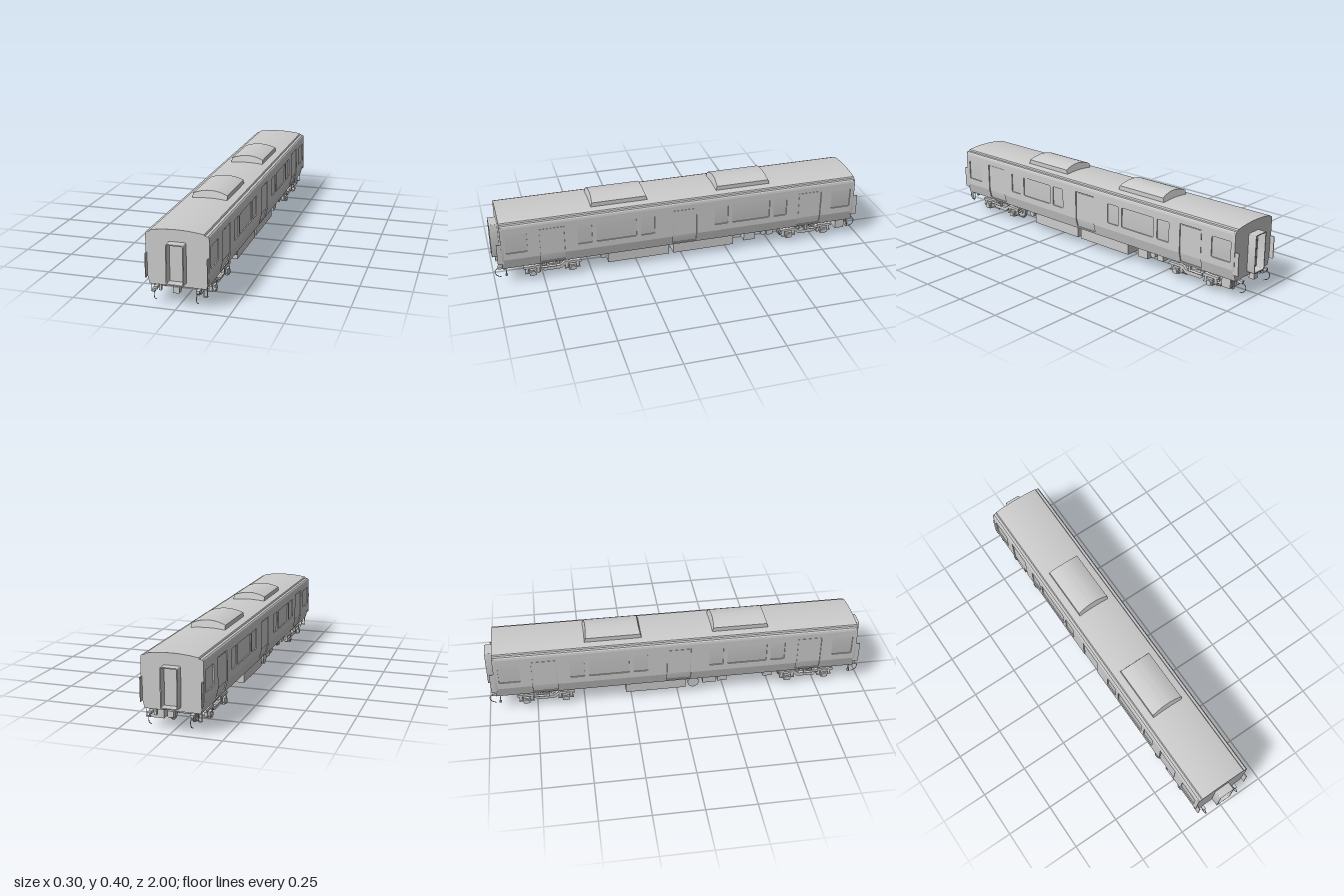
import * as THREE from 'three';
import { toCreasedNormals } from 'three/addons/utils/BufferGeometryUtils.js';

const mat = new THREE.MeshStandardMaterial({ color: 0xcccccc });
const thinMat = new THREE.MeshStandardMaterial({ color: 0xcccccc, side: THREE.DoubleSide });

function add(parent, name, geo, x = 0, y = 0, z = 0, m = mat) {
  const mesh = new THREE.Mesh(geo, m);
  mesh.name = name;
  mesh.position.set(x, y, z);
  parent.add(mesh);
  return mesh;
}
const box = (p, name, w, h, d, x, y, z) => add(p, name, new THREE.BoxGeometry(w, h, d), x, y, z);

// cylinder along 'x', 'y' or 'z'
function cyl(p, name, r, len, axis, x, y, z, r2 = r, seg = 24) {
  const g = new THREE.CylinderGeometry(r, r2, len, seg);
  if (axis === 'x') g.rotateZ(Math.PI / 2);
  if (axis === 'z') g.rotateX(Math.PI / 2);
  return add(p, name, g, x, y, z);
}

function tube(p, name, pts, r) {
  const curve = new THREE.CatmullRomCurve3(pts.map((v) => new THREE.Vector3(...v)));
  return add(p, name, new THREE.TubeGeometry(curve, 16, r, 6), 0, 0, 0, thinMat);
}

// shape mirrored in x from the right half of an outline, listed bottom to top
function mirrored(half) {
  const left = half.slice().reverse().filter(([x]) => x > 0).map(([x, y]) => [-x, y]);
  return new THREE.Shape([...half, ...left].map(([x, y]) => new THREE.Vector2(x, y)));
}
function arc(w, y0, y1, n = 10) {
  return Array.from({ length: n + 1 }, (_, i) => {
    const x = w * (1 - i / n);
    return [x, y1 - (y1 - y0) * (x / w) ** 2];
  });
}
function extrude(shape, depth, crease = 0.5) {
  const g = new THREE.ExtrudeGeometry(shape, { depth, bevelEnabled: false, curveSegments: 5 });
  return toCreasedNormals(g, crease);
}

function roundRect(cx, cy, w, h, r, Type = THREE.Shape) {
  const s = new Type(), a = w / 2, b = h / 2;
  s.moveTo(cx - a + r, cy - b);
  s.lineTo(cx + a - r, cy - b);
  s.quadraticCurveTo(cx + a, cy - b, cx + a, cy - b + r);
  s.lineTo(cx + a, cy + b - r);
  s.quadraticCurveTo(cx + a, cy + b, cx + a - r, cy + b);
  s.lineTo(cx - a + r, cy + b);
  s.quadraticCurveTo(cx - a, cy + b, cx - a, cy + b - r);
  s.lineTo(cx - a, cy - b + r);
  s.quadraticCurveTo(cx - a, cy - b, cx - a + r, cy - b);
  return s;
}

// body section; inset pulls the walls in behind the side panels
function bodyShape(inset) {
  return mirrored([
    [0.135 - inset, 0.098], [0.15 - inset, 0.155], [0.15 - inset, 0.332], [0.15, 0.332],
    [0.148, 0.343], [0.143, 0.348], [0.13, 0.349], [0.127, 0.355], ...arc(0.126, 0.356, 0.367),
  ]);
}

const DOORS = [-0.7, 0, 0.7], DOOR_W = 0.13, BEND = 0.155, HALF = 0.946;
const WINDOWS = [[0.2, 0.075], [0.365, 0.21], [0.53, 0.075], [0.88, 0.11]];

// one side wall: upper panel with windows, tapered lower panel, doors notched in both
function sideWall() {
  const side = new THREE.Group();
  side.name = 'sideWall';
  const panel = (edgeY, farY, notchY) => {
    const s = new THREE.Shape();
    s.moveTo(-HALF, farY);
    s.lineTo(-HALF, edgeY);
    for (const d of DOORS) {
      s.lineTo(d - DOOR_W / 2, edgeY);
      s.lineTo(d - DOOR_W / 2, notchY);
      s.lineTo(d + DOOR_W / 2, notchY);
      s.lineTo(d + DOOR_W / 2, edgeY);
    }
    s.lineTo(HALF, edgeY);
    s.lineTo(HALF, farY);
    return s;
  };
  const upper = panel(BEND, 0.332, 0.308);
  for (const [z, w] of WINDOWS)
    for (const s of [-1, 1]) upper.holes.push(roundRect(z * s, 0.243, w, 0.105, 0.008, THREE.Path));
  const place = (shape, name) => {
    const g = extrude(shape, 0.006);
    g.rotateY(Math.PI / 2).translate(0.144, 0, 0);
    const p = g.attributes.position;
    for (let i = 0; i < p.count; i++) {
      const drop = Math.max(0, BEND - p.getY(i));
      p.setX(i, p.getX(i) - drop * 0.263);
    }
    g.computeVertexNormals();
    add(side, name, toCreasedNormals(g, 0.5));
  };
  place(upper, 'windowPanel');
  place(panel(BEND, 0.098, 0.108), 'lowerPanel');
  // door leaves, slightly recessed
  for (const d of DOORS) box(side, 'doorLeaf', 0.004, 0.146, DOOR_W - 0.008, 0.1445, 0.23, d);
  // corner fins at both ends
  for (const s of [-1, 1]) box(side, 'cornerFin', 0.004, 0.115, 0.03, 0.146, 0.19, s * 0.965);
  return side;
}

function endDetails() {
  const g = new THREE.Group();
  g.name = 'carEnd';
  add(g, 'endWall', extrude(bodyShape(0), 0.014), 0, 0, 0.944);
  // gangway frame round a recessed door
  const frame = roundRect(0, 0.213, 0.084, 0.194, 0.008);
  frame.holes.push(roundRect(0, 0.213, 0.074, 0.184, 0.006, THREE.Path));
  add(g, 'gangway', extrude(frame, 0.044), 0, 0, 0.956);
  add(g, 'endDoor', extrude(roundRect(0, 0.213, 0.06, 0.17, 0.004), 0.006), 0, 0, 0.956);
  // coupler
  box(g, 'couplerBar', 0.018, 0.018, 0.1, 0, 0.088, 0.91);
  box(g, 'couplerHead', 0.03, 0.03, 0.03, 0, 0.09, 0.968);
  box(g, 'couplerBracket', 0.1, 0.012, 0.03, 0, 0.094, 0.91);
  for (const s of [-1, 1]) {
    box(g, 'endBracket', 0.012, 0.035, 0.012, s * 0.088, 0.083, 0.945);
    box(g, 'hoseCock', 0.016, 0.014, 0.03, s * 0.1, 0.088, 0.965);
    tube(g, 'hose', [[s * 0.1, 0.088, 0.975], [s * 0.1, 0.07, 0.995], [s * 0.1, 0.045, 0.99], [s * 0.1, 0.03, 0.965]], 0.002);
    for (const t of [-1, 1]) box(g, 'stepRail', 0.003, 0.045, 0.003, s * 0.125 + t * 0.008, 0.077, 0.94);
    box(g, 'stepTread', 0.019, 0.003, 0.012, s * 0.125, 0.055, 0.94);
  }
  return g;
}

function bogie() {
  const g = new THREE.Group();
  g.name = 'bogie';
  box(g, 'bolster', 0.2, 0.022, 0.06, 0, 0.068, 0);
  cyl(g, 'centrePivot', 0.025, 0.035, 'y', 0, 0.086, 0);
  const wheelProfile = [[0.007, -0.008], [0.016, -0.008], [0.018, -0.003], [0.032, -0.003], [0.034, -0.006],
    [0.043, -0.006], [0.043, -0.003], [0.039, 0], [0.038, 0.007], [0.033, 0.007], [0.031, 0.002],
    [0.018, 0.002], [0.016, 0.007], [0.007, 0.007]].map(([x, y]) => new THREE.Vector2(x, y));
  for (const z of [-0.103, 0.103]) {
    cyl(g, 'axle', 0.008, 0.25, 'x', 0, 0.043, z);
    for (const s of [-1, 1]) {
      const wheel = add(g, 'wheel', toCreasedNormals(new THREE.LatheGeometry(wheelProfile, 32), 0.5), s * 0.056, 0.043, z);
      wheel.rotation.z = -s * Math.PI / 2;
      box(g, 'axleBox', 0.022, 0.032, 0.036, s * 0.119, 0.046, z);
      cyl(g, 'axleCap', 0.013, 0.008, 'x', s * 0.131, 0.043, z);
      for (const t of [-1, 1]) {
        cyl(g, 'axleSpring', 0.009, 0.03, 'y', s * 0.115, 0.058, z + t * 0.029, 0.009, 12);
        box(g, 'springSeat', 0.02, 0.005, 0.022, s * 0.115, 0.042, z + t * 0.029);
      }
      box(g, 'brakeBlock', 0.012, 0.03, 0.01, s * 0.056, 0.045, z - Math.sign(z) * 0.05);
      box(g, 'brakeHanger', 0.008, 0.045, 0.006, s * 0.075, 0.06, z - Math.sign(z) * 0.055);
    }
  }
  // dropped side frames, air springs and dampers
  const frame = new THREE.Shape([[-0.15, 0.068], [-0.07, 0.068], [-0.045, 0.045], [0.045, 0.045], [0.07, 0.068],
    [0.15, 0.068], [0.15, 0.08], [0.065, 0.082], [0.04, 0.064], [-0.04, 0.064], [-0.065, 0.082], [-0.15, 0.08]]
    .map(([x, y]) => new THREE.Vector2(x, y)));
  const frameGeo = extrude(frame, 0.018).rotateY(Math.PI / 2);
  for (const s of [-1, 1]) {
    add(g, 'sideFrame', frameGeo, s * 0.115 - 0.009, 0, 0);
    cyl(g, 'airSpring', 0.026, 0.02, 'y', s * 0.095, 0.088, 0);
    cyl(g, 'damper', 0.006, 0.07, 'z', s * 0.133, 0.075, 0.03, 0.006, 12);
    box(g, 'damperBracket', 0.014, 0.03, 0.012, s * 0.131, 0.084, -0.01);
    box(g, 'frameCrossbar', 0.22, 0.012, 0.016, 0, 0.074, s * 0.045);
  }
  return g;
}

export function createModel() {
  const model = new THREE.Group();
  model.name = 'railwayCarriage';

  add(model, 'bodyAndRoof', extrude(bodyShape(0.0055), 1.892, 0.3), 0, 0, -0.946);

  // roof equipment pods with sloping ends
  for (const z of [-0.335, 0.335]) {
    const shape = mirrored([[0.088, 0.352], ...arc(0.088, 0.384, 0.403)]);
    const g = new THREE.ExtrudeGeometry(shape, { depth: 0.304, bevelEnabled: false }).translate(0, 0, -0.152);
    const p = g.attributes.position;
    for (let i = 0; i < p.count; i++) p.setZ(i, p.getZ(i) * (1 - (p.getY(i) - 0.352) * 1.9));
    g.computeVertexNormals();
    add(model, 'roofPod', toCreasedNormals(g, 0.4), 0, 0, z);
  }

  // sides, ends and bogies, each repeated by a half turn
  for (const turn of [0, Math.PI]) {
    for (const part of [sideWall(), endDetails()]) {
      part.rotation.y = turn;
      model.add(part);
    }
    const b = bogie();
    b.position.z = turn ? -0.702 : 0.702;
    b.rotation.y = turn;
    model.add(b);
  }

  // underfloor equipment: width, height, length, x, z (hung from the floor)
  const cases = [
    [0.08, 0.064, 0.33, 0.08, 0.245], [0.08, 0.064, 0.336, 0.08, -0.112], [0.07, 0.055, 0.065, 0.08, -0.375],
    [0.05, 0.04, 0.035, 0.09, -0.49], [0.08, 0.064, 0.32, -0.08, -0.12], [0.06, 0.05, 0.07, -0.085, 0.17],
    [0.05, 0.045, 0.05, -0.09, 0.24], [0.06, 0.04, 0.05, -0.085, 0.49], [0.07, 0.055, 0.05, 0.09, -0.9],
  ];
  for (const [w, h, d, x, z] of cases) box(model, 'equipmentCase', w, h, d, x, 0.1 - h / 2, z);
  cyl(model, 'airTank', 0.03, 0.09, 'x', -0.08, 0.068, 0.082);
  cyl(model, 'smallTank', 0.015, 0.09, 'x', 0.08, 0.083, 0.435);
  cyl(model, 'smallTank', 0.015, 0.09, 'x', 0.08, 0.083, -0.45);
  return model;
}
